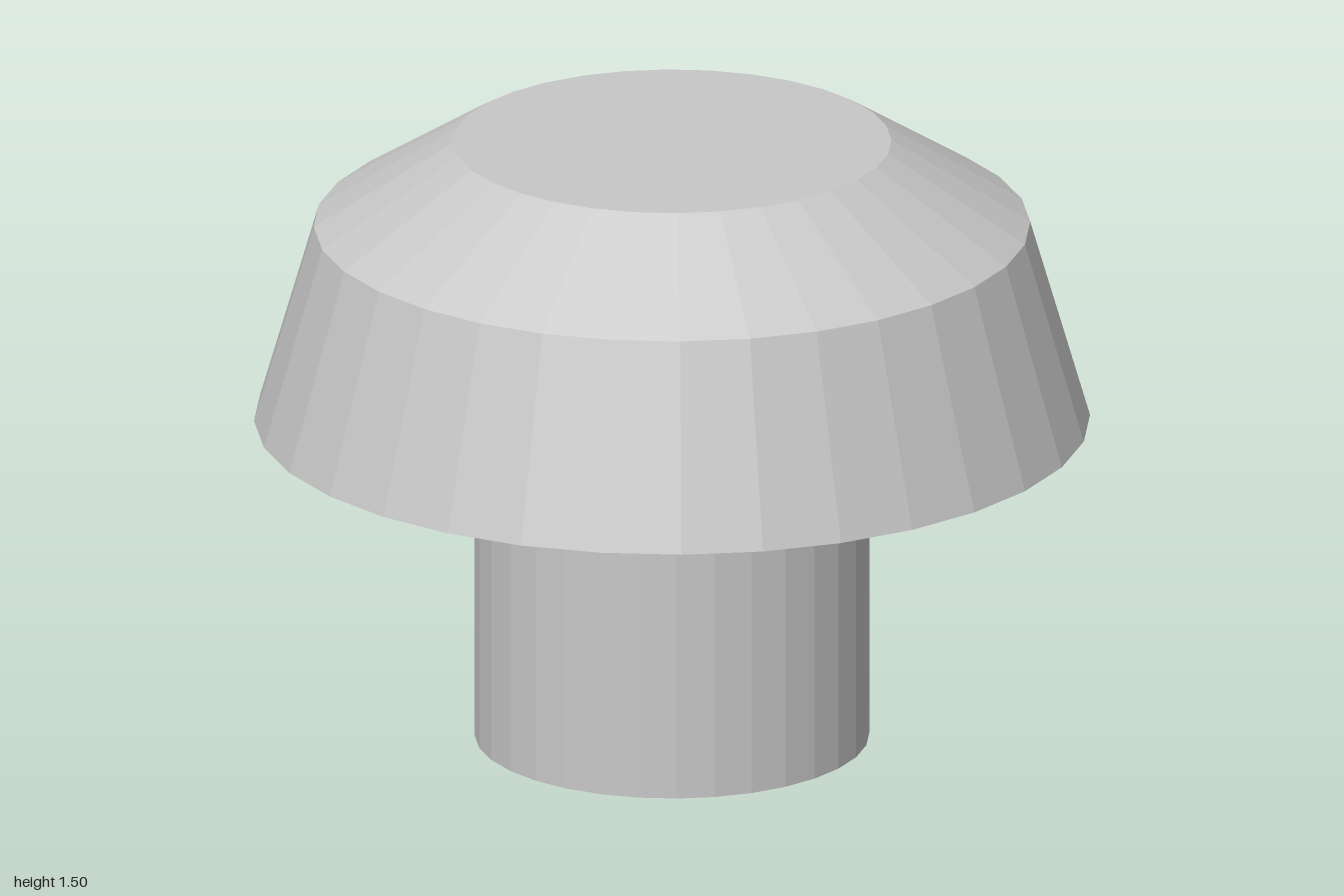
import * as THREE from 'three';

const SIDES = 32;

export function createModel() {
  const model = new THREE.Group();
  const grey = new THREE.MeshStandardMaterial({ color: 0xc8c8c8, flatShading: true });
  grey.name = 'light grey';

  // Outline of a solid of revolution, given as [radius, height] from bottom to top
  function addTurnedPart(name, outline) {
    const points = outline.map(([r, y]) => new THREE.Vector2(r, y));
    const mesh = new THREE.Mesh(new THREE.LatheGeometry(points, SIDES), grey);
    mesh.name = name;
    model.add(mesh);
  }

  // Straight stem, closed at the foot and running up to the underside of the cap
  addTurnedPart('stem', [[0, 0], [0.472, 0], [0.472, 0.8]]);

  // Cap: flat underside, tapering skirt, sloped shoulder and flat top
  addTurnedPart('cap', [[0.472, 0.8], [1, 0.8], [0.857, 1.29], [0.525, 1.5], [0, 1.5]]);

  return model;
}
